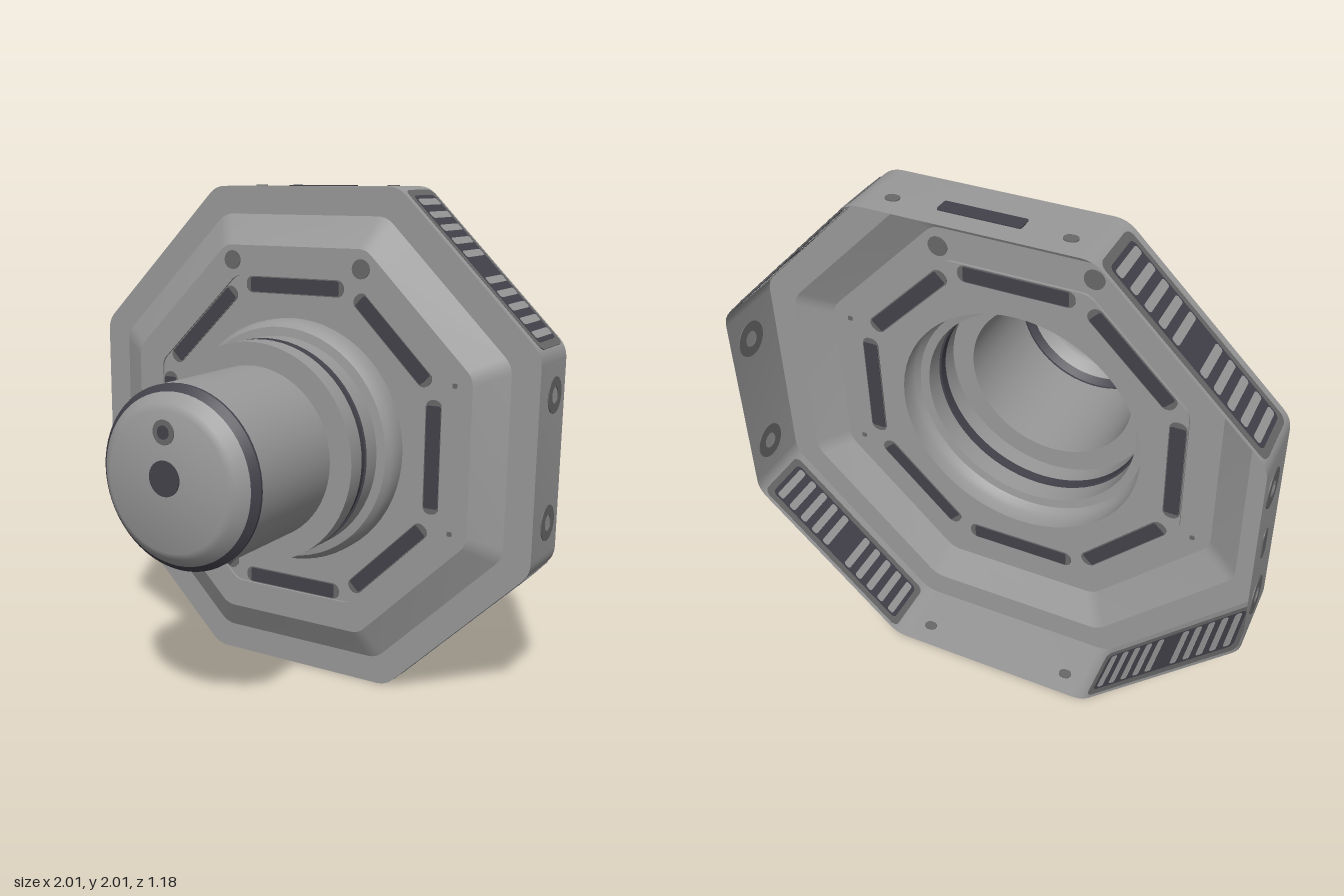
import * as THREE from 'three';
import { toCreasedNormals } from 'three/addons/utils/BufferGeometryUtils.js';

const CY = 1; // height of the main axis

function material(name, color) {
  const m = new THREE.MeshStandardMaterial({ color, side: THREE.DoubleSide });
  m.name = name;
  return m;
}

// Octagon with rounded corners; a = distance from centre to a side
function octagon(a) {
  const pts = [], r = 0.1 * a, steps = 4;
  for (let k = 0; k < 8; k++) {
    const mid = (k + 0.5) * Math.PI / 4, d = (a - r) / Math.cos(Math.PI / 8);
    for (let s = 0; s <= steps; s++) {
      const t = (k + s / steps) * Math.PI / 4;
      pts.push(new THREE.Vector2(d * Math.cos(mid) + r * Math.cos(t), d * Math.sin(mid) + r * Math.sin(t)));
    }
  }
  return pts;
}

// Shell through octagons given as [apothem, z]
function octagonLoft(rings) {
  const pos = [], loops = rings.map(([a, z]) => octagon(a).map(p => [p.x, p.y, z]));
  for (let j = 0; j + 1 < loops.length; j++) {
    const n = loops[j].length;
    for (let i = 0; i < n; i++) {
      const k = (i + 1) % n;
      const a = loops[j][i], b = loops[j][k], c = loops[j + 1][k], d = loops[j + 1][i];
      pos.push(...a, ...b, ...c, ...a, ...c, ...d);
    }
  }
  const g = new THREE.BufferGeometry();
  g.setAttribute('position', new THREE.Float32BufferAttribute(pos, 3));
  return toCreasedNormals(g, 0.4);
}

// Turned part around z from [radius, z] pairs
function turned(profile) {
  const g = new THREE.LatheGeometry(profile.map(([r, z]) => new THREE.Vector2(r, z)), 64);
  return toCreasedNormals(g.rotateX(Math.PI / 2), 0.6);
}

// Thin rounded plate centred on z = 0, with an optional round hole
function plate(w, h, r, t = 0.008, hole = 0) {
  const s = new THREE.Shape(), x = w / 2 - r, y = h / 2 - r;
  s.absarc(x, y, r, 0, Math.PI / 2);
  s.absarc(-x, y, r, Math.PI / 2, Math.PI);
  s.absarc(-x, -y, r, Math.PI, Math.PI * 1.5);
  s.absarc(x, -y, r, Math.PI * 1.5, Math.PI * 2);
  if (hole) s.holes.push(new THREE.Path().absarc(0, 0, hole, 0, Math.PI * 2, true));
  return new THREE.ExtrudeGeometry(s, { depth: t, bevelEnabled: false, curveSegments: 8 }).translate(0, 0, -t / 2);
}

export function createModel() {
  const body = material('body grey', 0x999999);
  const mid = material('recess grey', 0x686868);
  const dark = material('dark slate', 0x43424b);
  const model = new THREE.Group();
  const axis = new THREE.Group();
  axis.name = 'mount';
  axis.position.y = CY;
  model.add(axis);

  function add(parent, name, geo, mat, x = 0, y = 0, z = 0) {
    const m = new THREE.Mesh(geo, mat);
    m.name = name;
    m.position.set(x, y, z);
    parent.add(m);
    return m;
  }

  // Open-backed octagonal housing
  add(axis, 'octagonHousing', octagonLoft([
    [1, -0.59], [1, -0.32], [0.89, -0.32], [0.77, -0.25], [0.65, -0.25], [0.65, -0.26]]), body);
  const floor = new THREE.Shape(octagon(0.65));
  floor.holes.push(new THREE.Path().absarc(0, 0, 0.485, 0, Math.PI * 2, true));
  add(axis, 'slottedFace', new THREE.ShapeGeometry(floor, 32), body, 0, 0, -0.26);

  // Hollow collar, seal ring, barrel and cap
  add(axis, 'collar', turned([
    [0.49, -0.26], [0.49, -0.21], [0.48, -0.185], [0.465, -0.165], [0.43, -0.16], [0.43, -0.08]]), body);
  add(axis, 'sealRing', turned([[0.43, -0.08], [0.422, -0.078], [0.422, -0.042], [0.43, -0.04]]), dark);
  add(axis, 'barrel', turned([[0.43, -0.04], [0.43, 0.04], [0.34, 0.04], [0.34, 0.5]]), body);
  add(axis, 'capBand', turned([[0.34, 0.5], [0.34, 0.51], [0.315, 0.535]]), dark);
  add(axis, 'cap', turned([[0.315, 0.535], [0.28, 0.573], [0.255, 0.587], [0.0005, 0.587]]), body);
  add(axis, 'capCentreHole', plate(0.13, 0.13, 0.0649), dark, -0.01, 0.015, 0.587);
  add(axis, 'capSmallRing', plate(0.09, 0.09, 0.0449), mid, -0.01, 0.18, 0.587);
  add(axis, 'capSmallHole', plate(0.05, 0.05, 0.0249, 0.011), dark, -0.01, 0.18, 0.587);

  // Screw holes and pin marks on the front face
  for (const [x, y] of [[-0.285, 0.71], [0.3, 0.695]])
    add(axis, 'faceHole', plate(0.075, 0.075, 0.0374), mid, x, y, -0.25);
  for (const [x, y] of [[0.7, 0.285], [0.7, -0.285], [-0.7, -0.3]])
    add(axis, 'pinMark', plate(0.018, 0.018, 0.004), mid, x, y, -0.25);

  for (let i = 0; i < 8; i++) {
    const side = new THREE.Group();
    side.name = 'side' + (i + 1);
    side.rotation.z = i * Math.PI / 4;
    axis.add(side);

    // Slot in the front face
    add(side, 'slotRecess', plate(0.066, 0.445, 0.03, 0.006), mid, 0.615, 0, -0.26);
    add(side, 'slot', plate(0.058, 0.4, 0.008, 0.01), dark, 0.615, 0, -0.26);

    // Details on the outer wall, visible inside and out
    const onWall = (name, geo, mat, y, z) => {
      add(side, name, geo, mat, 1, y, z).rotation.y = Math.PI / 2;
    };
    if (i % 2) {
      onWall('grilleFrame', plate(0.225, 0.79, 0.03, 0.004), mid, 0, -0.463);
      onWall('grilleGap', plate(0.18, 0.73, 0.02, 0.007), dark, 0, -0.463);
      for (let b = -5; b <= 5; b++)
        if (b) onWall('grilleBar', plate(0.165, 0.032, 0.01, 0.01), body, b * 0.066, -0.463);
    } else if (i % 4 === 0) {
      for (const s of [-1, 1])
        onWall('screwRing', plate(0.14, 0.14, 0.0699, 0.008, 0.032), mid, s * 0.247, -0.475);
      if (i === 4) onWall('ovalPort', plate(0.055, 0.12, 0.027), mid, 0, -0.475);
    } else {
      if (i === 2) onWall('topSlot', plate(0.06, 0.29, 0.008), dark, 0, -0.48);
      for (const s of [-1, 1])
        onWall('pinHole', plate(0.04, 0.05, 0.0199), mid, s * 0.305, -0.5);
    }
  }
  return model;
}
